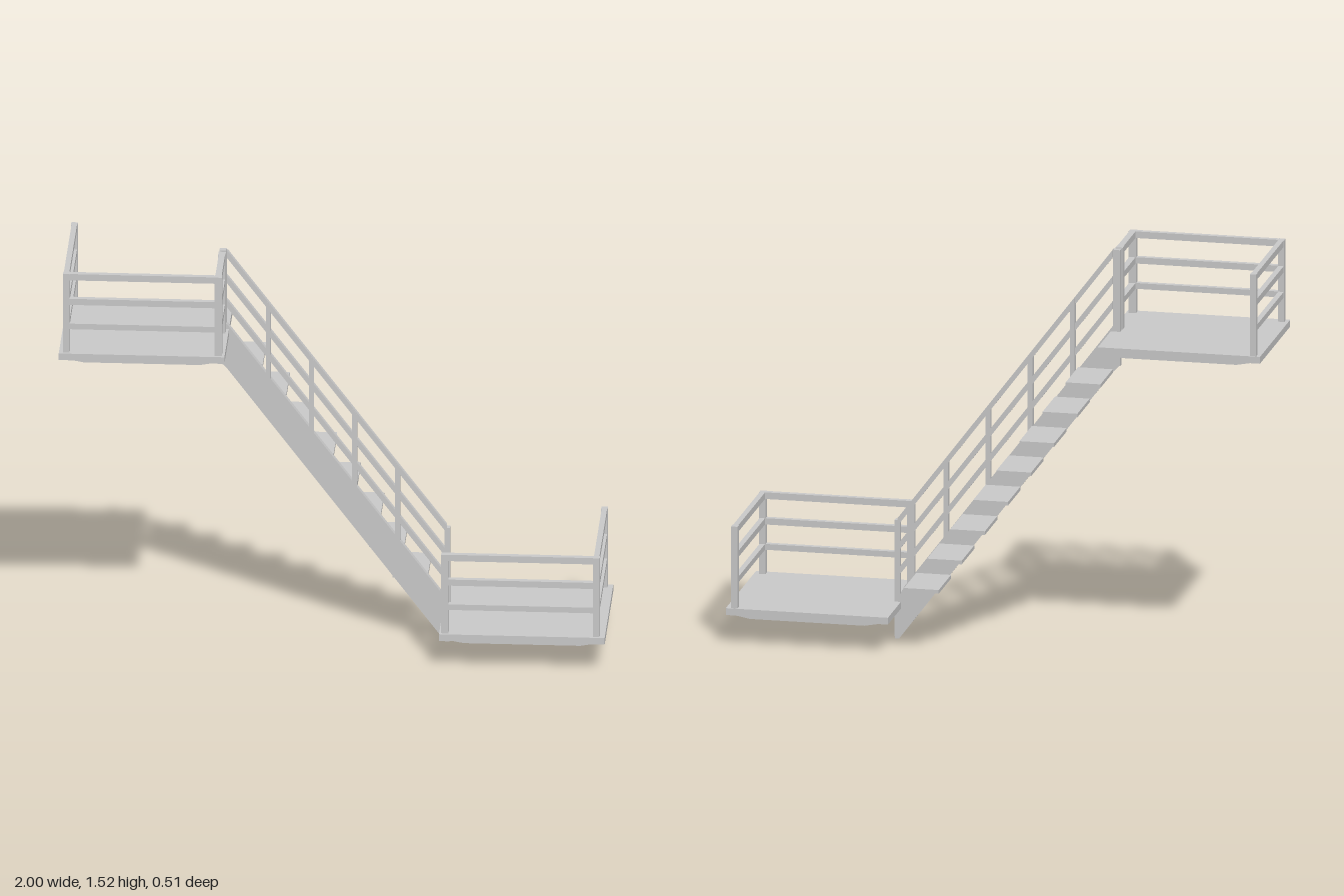
import * as THREE from 'three';

const material = new THREE.MeshStandardMaterial({ color: 0xcccccc, flatShading: true });
const SLOPE = -1.325; // pitch of the stair flight

function add(parent, name, geometry) {
  const mesh = new THREE.Mesh(geometry, material);
  mesh.name = name;
  parent.add(mesh);
  return mesh;
}

// Box given by its limits on each axis
function box(parent, name, [x0, x1], [y0, y1], [z0, z1]) {
  const mesh = add(parent, name, new THREE.BoxGeometry(x1 - x0, y1 - y0, z1 - z0));
  mesh.position.set((x0 + x1) / 2, (y0 + y1) / 2, (z0 + z1) / 2);
  return mesh;
}

// Outline in the x-y plane, given thickness from z0 to z1
function plate(parent, name, points, z0, z1) {
  const shape = new THREE.Shape(points.map(([x, y]) => new THREE.Vector2(x, y)));
  const mesh = add(parent, name, new THREE.ExtrudeGeometry(shape, { depth: z1 - z0, bevelEnabled: false }));
  mesh.position.z = z0;
  return mesh;
}

// Three horizontal bars filling one side of a landing
function bars(parent, floor, xs, zs) {
  for (const [bottom, top] of [[0.092, 0.114], [0.188, 0.212], [0.285, 0.31]]) {
    box(parent, 'landingRail', xs, [floor + bottom, floor + top], zs);
  }
}

function landing(name, x0, x1, floor, outerX, innerX, innerReturn) {
  const group = new THREE.Group();
  group.name = name;
  box(group, 'floorSlab', [x0, x1], [floor - 0.026, floor], [-0.26, 0.255]);

  // Joists with tapered ends
  const y = floor - 0.026;
  for (const [z0, z1] of [[0.22, 0.245], [-0.017, 0.025], [-0.255, -0.23]]) {
    plate(group, 'joist', [
      [x0 + 0.03, y], [x0 + 0.09, y - 0.011], [x1 - 0.09, y - 0.011], [x1 - 0.03, y],
    ], z0, z1);
  }

  // Posts
  const h = [floor, floor + 0.31];
  const front = [0.22, 0.245], back = [-0.255, -0.23];
  box(group, 'post', outerX, h, front);
  box(group, 'post', outerX, h, back);
  box(group, 'post', innerX, h, front);

  // Rails along the front and the outer end
  const xs = [Math.min(outerX[1], innerX[1]), Math.max(outerX[0], innerX[0])];
  bars(group, floor, xs, [0.222, 0.243]);
  bars(group, floor, [outerX[0] + 0.002, outerX[1] - 0.002], [-0.23, 0.22]);

  // Short return rail beside the stair
  if (innerReturn) {
    box(group, 'post', innerX, h, [-0.005, 0.025]);
    bars(group, floor, [innerX[0] + 0.002, innerX[1] - 0.002], [0.025, 0.22]);
  }
  return group;
}

function stair() {
  const group = new THREE.Group();
  group.name = 'stair';
  const z0 = -0.04, z1 = -0.016;

  // Sloping side stringer
  plate(group, 'stringer', [
    [-0.425, 1.085], [-0.4, 1.06], [0.4, 0], [0.415, 0], [0.415, 0.13], [0.38, 0.2], [-0.4, 1.235], [-0.425, 1.235],
  ], z0, z1);

  // Sloping rails
  for (const top of [1.525, 1.425, 1.33]) {
    const y = (x) => top + SLOPE * (x + 0.4);
    plate(group, 'slopingRail', [
      [-0.4, y(-0.4) - 0.03], [0.405, y(0.405) - 0.03], [0.405, y(0.405)], [-0.4, y(-0.4)],
    ], z0 + 0.002, z1 - 0.002);
  }

  // Intermediate posts, cut to the pitch at top and bottom
  for (let i = 1; i <= 4; i++) {
    const x = -0.407 + i * 0.158, w = 0.009;
    const y = (px, start) => start + SLOPE * (px + 0.4);
    plate(group, 'stairPost', [
      [x - w, y(x - w, 1.22)], [x + w, y(x + w, 1.22)], [x + w, y(x + w, 1.52)], [x - w, y(x - w, 1.52)],
    ], z0, z1);
  }
  box(group, 'topPost', [-0.428, -0.402], [1.085, 1.525], [z0, z1]);
  box(group, 'bottomPost', [0.397, 0.417], [0.01, 0.45], [z0, z1]);

  // Cantilevered treads
  for (let i = 0; i < 8; i++) {
    const x = 0.205 + i * -0.0865, y = 0.24 + i * 0.1168;
    box(group, 'tread', [x, x + 0.13], [y, y + 0.014], [-0.25, z0 + 0.002]);
  }
  return group;
}

export function createModel() {
  const model = new THREE.Group();
  model.name = 'staircase';
  model.add(
    landing('upperLanding', -1, -0.393, 1.215, [-0.985, -0.961], [-0.43, -0.403], true),
    landing('lowerLanding', 0.393, 1, 0.14, [0.957, 0.981], [0.4, 0.427], false),
    stair(),
  );
  return model;
}
